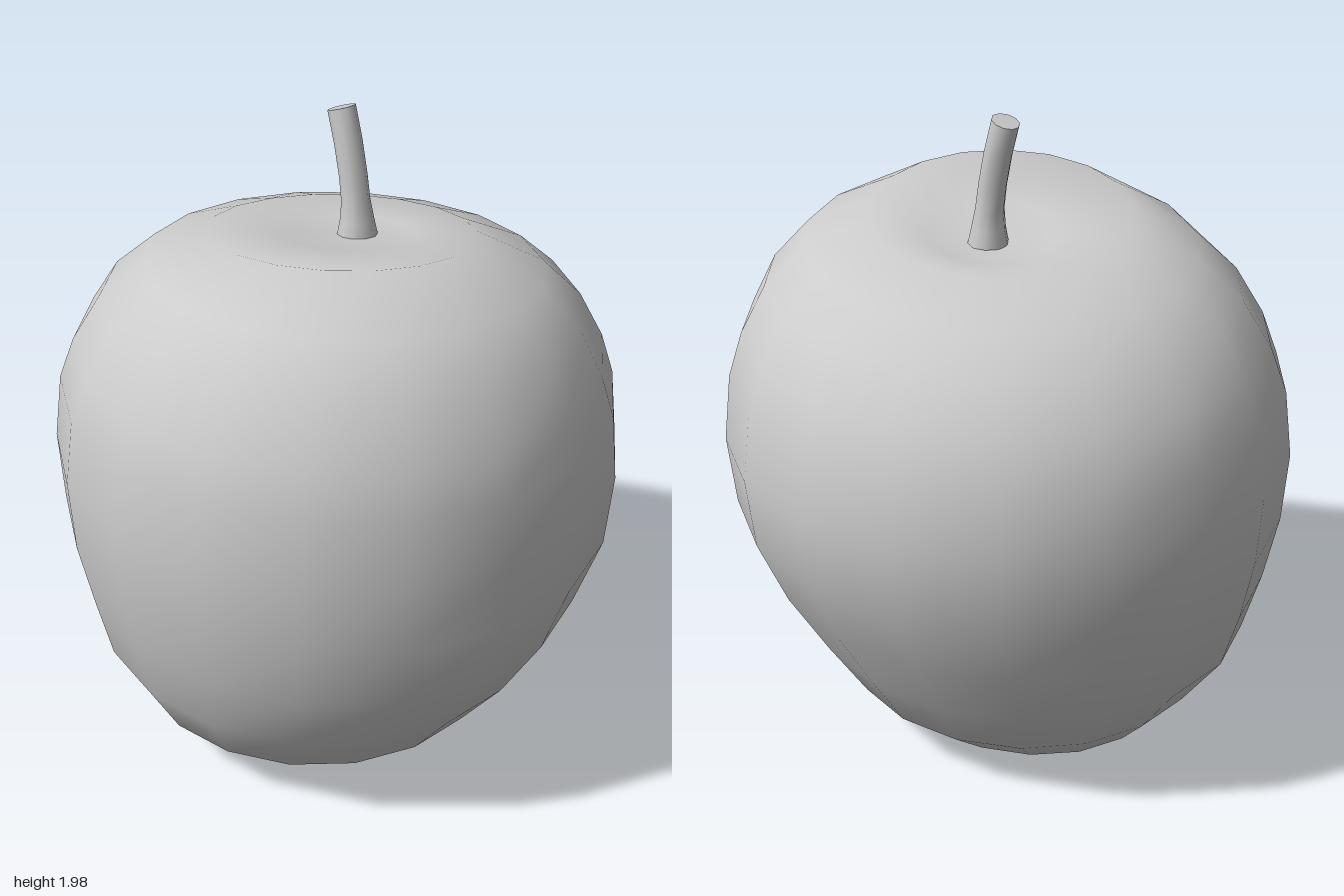
import * as THREE from 'three';
import { toCreasedNormals } from 'three/addons/utils/BufferGeometryUtils.js';

// Skin a stack of equal rings, closed by a pole point at each end.
function loft(rings, bottom, top) {
  const n = rings[0].length;
  const points = [...rings.flat(), bottom, top];
  const low = points.length - 2, high = points.length - 1;
  const last = (rings.length - 1) * n;
  const index = [];
  for (let j = 0; j < n; j++) {
    const k = (j + 1) % n;
    for (let i = 0; i < rings.length - 1; i++) {
      const a = i * n + j, b = i * n + k;
      index.push(a, a + n, b, b, a + n, b + n);
    }
    index.push(low, j, k, high, last + k, last + j);
  }
  const geometry = new THREE.BufferGeometry().setFromPoints(points);
  geometry.setIndex(index);
  geometry.computeVertexNormals();
  return geometry;
}

// Lopsided oval: each half-axis has its own reach; lift(cos, sin) varies the height.
function oval(y, xMin, xMax, zMin, zMax, lift = () => 0, n = 18) {
  const cx = (xMin + xMax) / 2, cz = (zMin + zMax) / 2;
  return Array.from({ length: n }, (_, j) => {
    const a = (j / n) * Math.PI * 2, c = Math.cos(a), s = Math.sin(a);
    return new THREE.Vector3(cx + c * (xMax - xMin) / 2, y + lift(c, s), cz + s * (zMax - zMin) / 2);
  });
}

function appleBody() {
  // underside rim is lifted on one side, the shoulder slopes down to +x and the back
  const notch = (amount) => (c, s) => amount * Math.max(0, -0.85 * c - 0.4 * s) ** 2;
  const slope = (amount) => (c, s) => amount * (-0.042 * c + 0.038 * s);
  const rings = [
    oval(0.09, -0.2, 0.08, -0.18, 0.1),
    oval(0.015, -0.36, 0.2, -0.38, 0.28, notch(0.06)),
    oval(0.08, -0.5, 0.35, -0.49, 0.4, notch(0.03)),
    oval(0.19, -0.63, 0.49, -0.59, 0.54),
    oval(0.37, -0.73, 0.6, -0.72, 0.68),
    oval(0.57, -0.78, 0.71, -0.79, 0.79),
    oval(0.78, -0.825, 0.8, -0.84, 0.85),
    oval(1.0, -0.835, 0.83, -0.86, 0.86),
    oval(1.2, -0.81, 0.8, -0.835, 0.845),
    oval(1.33, -0.77, 0.75, -0.78, 0.81),
    oval(1.47, -0.69, 0.67, -0.69, 0.74, slope(0.3)),
    oval(1.585, -0.57, 0.55, -0.56, 0.63, slope(0.7)),
    oval(1.675, -0.39, 0.37, -0.36, 0.42, slope(1)),
    oval(1.635, -0.13, 0.24, -0.19, 0.19, slope(0.5)),
  ];
  return loft(rings, new THREE.Vector3(-0.06, 0.11, -0.04), new THREE.Vector3(0.09, 1.615, -0.01));
}

function stalk() {
  const curve = new THREE.QuadraticBezierCurve3(
    new THREE.Vector3(0.09, 1.615, -0.012),
    new THREE.Vector3(0.09, 1.79, -0.015),
    new THREE.Vector3(0.09, 1.986, -0.08));
  const sides = 10;
  const rings = [0, 0.14, 0.3, 0.5, 0.75, 1].map((t, i) => {
    const p = curve.getPoint(t), d = curve.getTangent(t);
    const side = new THREE.Vector3(1, 0, 0);
    const front = new THREE.Vector3().crossVectors(side, d);
    const r = [0.06, 0.05, 0.042, 0.041, 0.041, 0.041][i];
    return Array.from({ length: sides }, (_, j) => {
      const a = (j / sides) * Math.PI * 2;
      return p.clone().addScaledVector(side, r * Math.cos(a)).addScaledVector(front, r * Math.sin(a));
    });
  });
  return toCreasedNormals(loft(rings, curve.getPoint(0), curve.getPoint(1)), 0.9);
}

export function createModel() {
  const group = new THREE.Group();
  group.name = 'apple';
  const material = new THREE.MeshStandardMaterial({ color: 0xcccccc });
  for (const [name, geometry] of [['body', appleBody()], ['stem', stalk()]]) {
    const mesh = new THREE.Mesh(geometry, material);
    mesh.name = name;
    group.add(mesh);
  }
  return group;
}
